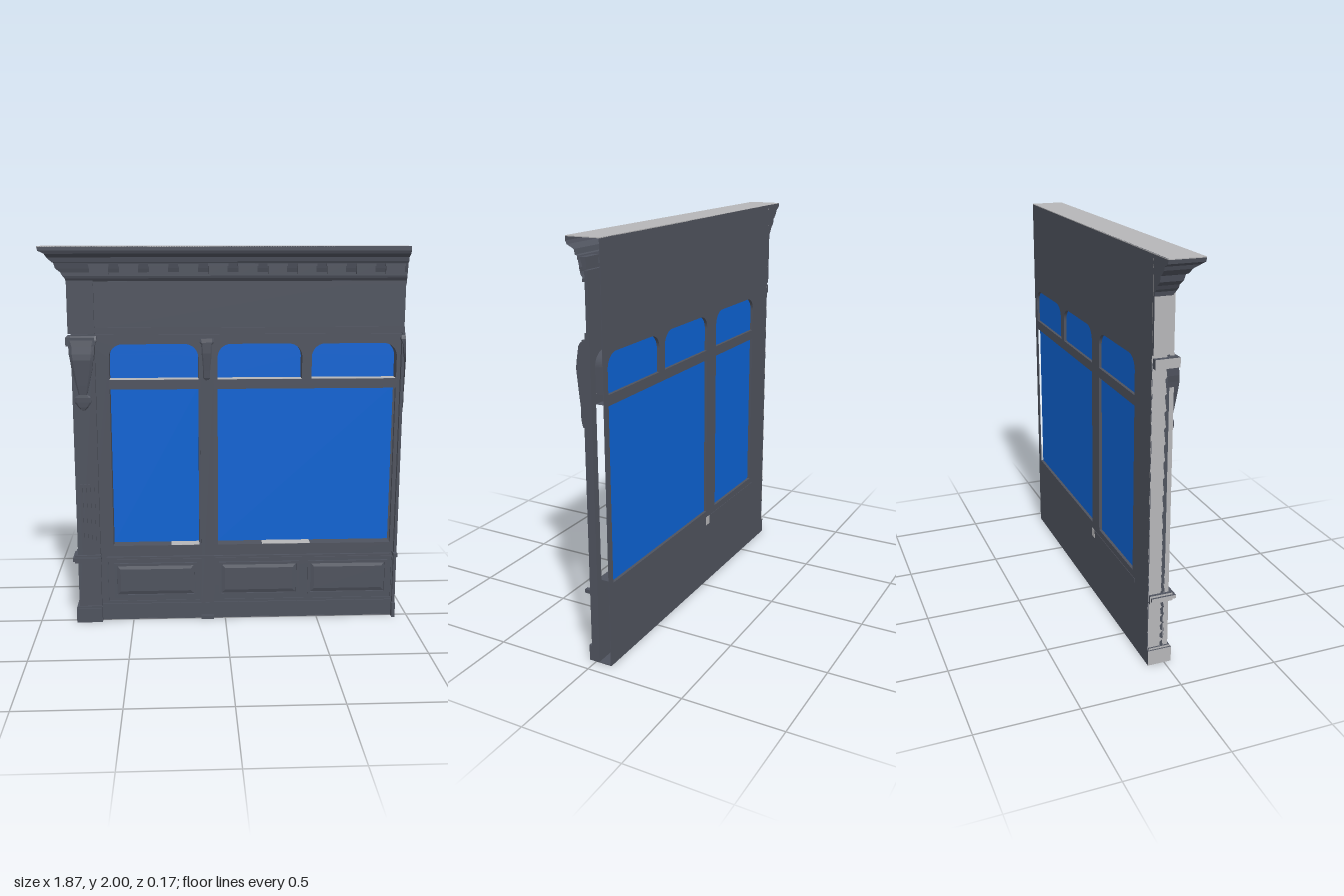
import * as THREE from 'three';

const mat = (name, color) => new THREE.MeshStandardMaterial({ name, color, side: THREE.DoubleSide });

export function createModel() {
  const paint = mat('dark paint', 0x4f535e);
  const bare = mat('bare grey', 0xb6b6b8);
  const blue = mat('blue glass', 0x0d63d3);
  const sided = [paint, bare, paint, paint, paint, paint]; // bare outer side
  const model = new THREE.Group();
  model.name = 'shopfront';
  const L = -0.79, R = 0.93, BACK = -0.085;

  const add = (name, geo, material = paint) => {
    const m = new THREE.Mesh(geo, material);
    m.name = name;
    model.add(m);
    return m;
  };
  // Box given by its limits
  const box = (name, x0, x1, y0, y1, z0, z1, material) => {
    const g = new THREE.BoxGeometry(x1 - x0, y1 - y0, z1 - z0);
    g.translate((x0 + x1) / 2, (y0 + y1) / 2, (z0 + z1) / 2);
    return add(name, g, material);
  };
  // Flat-shaded skin through rows of points
  const loft = (rows) => {
    const n = rows[0].length, idx = [];
    for (let i = 0; i < rows.length - 1; i++)
      for (let j = 0; j < n - 1; j++) {
        const a = i * n + j, b = a + n;
        idx.push(a, b, a + 1, a + 1, b, b + 1);
      }
    const g = new THREE.BufferGeometry();
    g.setAttribute('position', new THREE.Float32BufferAttribute(rows.flat(2), 3));
    g.setIndex(idx);
    const flat = g.toNonIndexed();
    flat.computeVertexNormals();
    return flat;
  };
  const plate = (name, shape, z0, z1, material) => {
    const g = new THREE.ExtrudeGeometry(shape, { depth: z1 - z0, bevelEnabled: false, curveSegments: 8 });
    g.translate(0, 0, z0);
    return add(name, g, material);
  };
  // Window outline, with optional rounded top corners
  const outline = ([x0, x1, y0, y1, r], C = THREE.Shape) => {
    const s = new C();
    s.moveTo(x0, y0);
    s.lineTo(x1, y0);
    if (r) {
      s.lineTo(x1, y1 - r);
      s.absarc(x1 - r, y1 - r, r, 0, Math.PI / 2, false);
      s.absarc(x0 + r, y1 - r, r, Math.PI / 2, Math.PI, false);
    } else {
      s.lineTo(x1, y1);
      s.lineTo(x0, y1);
    }
    s.closePath();
    return s;
  };

  const windows = [
    [-0.6, -0.14, 0.42, 1.27, 0], [-0.04, 0.895, 0.42, 1.27, 0],
    [-0.6, -0.14, 1.32, 1.505, 0.07], [-0.04, 0.4, 1.32, 1.505, 0.07], [0.45, 0.895, 1.32, 1.505, 0.07],
  ];
  const bareSill = [[-0.29, -0.14], [0.2, 0.46], [-0.6, -0.14], [-0.04, 0.4], [0.45, 0.895]];

  // Cornice levels: left x, front z, height
  const cornice = [
    [-0.935, 0.087, 2], [-0.93, 0.087, 1.978], [-0.9, 0.08, 1.963], [-0.893, 0.045, 1.945],
    [-0.87, 0.04, 1.922], [-0.862, 0.03, 1.918], [-0.855, 0.024, 1.89], [-0.83, 0.018, 1.87],
    [-0.82, 0.018, 1.852], [-0.81, 0.014, 1.84], [-0.805, 0.0, 1.82], [L, 0, 1.81],
  ];
  add('cornice', loft(cornice.map(([x, z, y]) => [[x, y, BACK], [x, y, z], [R, y, z]])));
  box('corniceTop', -0.935, R, 1.996, 2, BACK, 0.087, bare);
  box('corniceInnerEnd', -0.892, -0.888, 1.963, 1.996, -0.08, 0.08, bare);

  // Dentils under the cornice
  for (let x = -0.685; x < R; x += 0.15) {
    const x1 = Math.min(x + 0.095, R);
    box('dentil', x, x1, 1.86, 1.905, 0.0, 0.036);
    box('dentilCap', x - 0.004, Math.min(x1 + 0.004, R), 1.9, 1.912, 0.0, 0.04);
  }

  // Front wall with window openings
  const front = outline([L, R, 0.005, 1.56]);
  front.holes = windows.map((w) => outline(w, THREE.Path));
  plate('frontWall', front, -0.02, 0);
  box('frieze', L, R, 1.56, 1.86, -0.02, -0.004);
  box('friezeLowerRail', -0.67, R, 1.56, 1.59, -0.02, 0.006);
  box('architrave', -0.67, R, 1.535, 1.556, -0.01, 0.014);
  box('friezeUpperRail', -0.67, R, 1.81, 1.825, -0.02, 0.008);

  // Back wall follows the cornice end
  const back = new THREE.Shape();
  back.moveTo(L, 0);
  back.lineTo(R, 0);
  back.lineTo(R, 2);
  cornice.forEach(([x, , y]) => back.lineTo(x, y));
  back.closePath();
  back.holes = windows.map((w) => outline(w, THREE.Path));
  plate('backWall', back, BACK, -0.081);
  box('outerSide', L, L + 0.004, 0, 1.98, BACK, 0, bare);
  box('underside', L, R, 0, 0.004, BACK, 0);
  box('backLedge', -0.63, -0.03, 0.365, 0.385, -0.087, -0.02);
  box('backLedgeBlock', -0.075, -0.035, 0.34, 0.385, -0.0875, -0.05, bare);

  // Panes, reveals and sills
  windows.forEach((w, i) => {
    const s = outline(w);
    plate('pane', s, -0.07, -0.066, blue);
    const pts = s.getPoints(8);
    // the large right opening has no right-hand reveal
    const path = i === 1 ? pts.slice(2) : pts.slice(1);
    if (path[path.length - 1].distanceTo(pts[0]) > 1e-4) path.push(pts[0]);
    add('reveal', loft([-0.02, -0.082].map((z) => path.map((p) => [p.x, p.y, z]))));
    box('sill', w[0], w[1], w[2] - 0.004, w[2], -0.082, -0.001);
    box('sillTop', ...bareSill[i], w[2], w[2] + 0.001, -0.066, -0.002, bare);
  });

  // Mullion with its small corbel
  box('mullion', -0.13, -0.062, 0.005, 1.32, -0.01, 0.006);
  const console = (name, cx, levels, clip = Infinity) => {
    const X = (x) => Math.min(x, clip);
    add(name, loft(levels.map(([y, h, z]) => [
      [X(cx - h), y, -0.01], [X(cx - h), y, z * 0.85], [X(cx - h * 0.75), y, z],
      [X(cx + h * 0.75), y, z], [X(cx + h), y, z * 0.85], [X(cx + h), y, -0.01],
    ])));
  };
  console('mullionCorbel', -0.097, [
    [1.535, 0, 0.02], [1.535, 0.037, 0.03], [1.515, 0.037, 0.034], [1.505, 0.028, 0.034], [1.46, 0.026, 0.034],
    [1.37, 0.018, 0.022], [1.33, 0.018, 0.018], [1.318, 0.008, 0.012], [1.318, 0, 0.0],
  ]);

  // Left pilaster
  box('pilaster', L, -0.67, 0.08, 1.56, -0.005, 0.022, sided);
  box('pilasterHead', -0.805, -0.67, 1.56, 1.83, BACK, 0.012, sided);
  box('plinth', -0.805, -0.667, 0, 0.08, BACK, 0.036, sided);
  box('plinthLip', -0.798, -0.668, 0.08, 0.09, -0.08, 0.03, sided);
  box('pilasterBand', -0.815, -0.665, 0.352, 0.37, -0.075, 0.05, sided);
  box('pilasterBandBase', -0.805, -0.668, 0.338, 0.38, -0.08, 0.036, sided);
  for (let i = 0; i < 4; i++)
    box('reed', -0.766 + i * 0.021, -0.753 + i * 0.021, 0.42, 0.77, 0.02, 0.029);
  // Right pilaster, cut by the end of the wall
  box('cutPilaster', 0.915, R, 0.005, 1.56, -0.01, 0.022);
  box('cutPlinth', 0.912, R, 0, 0.08, -0.02, 0.036);
  box('cutBand', 0.908, R, 0.352, 0.37, -0.02, 0.05);

  // Carved console brackets with a pendant
  const bracket = [
    [1.55, 0, 0.02], [1.55, 0.075, 0.028], [1.53, 0.077, 0.04], [1.5, 0.066, 0.045], [1.46, 0.064, 0.052],
    [1.43, 0.058, 0.055], [1.38, 0.052, 0.05], [1.3, 0.034, 0.042], [1.25, 0.022, 0.036],
    [1.235, 0.042, 0.038], [1.21, 0.044, 0.037], [1.185, 0.026, 0.034], [1.165, 0.006, 0.028], [1.165, 0, 0],
  ];
  console('bracket', -0.735, bracket);
  box('bracketScroll', -0.815, -0.67, 1.5, 1.545, -0.08, 0.04, sided);
  console('cutBracket', 0.985, bracket, R);

  // Panels below the windows
  const frame = (name, x0, x1, y0, y1, t, z) => {
    const s = outline([x0, x1, y0, y1]);
    s.holes = [outline([x0 + t, x1 - t, y0 + t, y1 - t], THREE.Path)];
    plate(name, s, -0.005, z);
  };
  for (const [x0, x1] of [[-0.6, -0.155], [-0.035, 0.4], [0.45, 0.885]]) {
    frame('panelFrame', x0, x1, 0.13, 0.322, 0.014, 0.01);
    const ring = (d, z) => [
      [x0 + d, 0.13 + d, z], [x1 - d, 0.13 + d, z], [x1 - d, 0.322 - d, z], [x0 + d, 0.322 - d, z], [x0 + d, 0.13 + d, z],
    ];
    add('panelBevel', loft([ring(0.014, 0.001), ring(0.034, 0.008)]));
    box('panelField', x0 + 0.034, x1 - 0.034, 0.164, 0.288, 0, 0.008);
  }
  frame('panelSurround', -0.64, -0.13, 0.1, 0.345, 0.008, 0.005);
  frame('panelSurround', -0.062, 0.915, 0.1, 0.345, 0.008, 0.005);
  box('dadoRail', -0.64, 0.915, 0.35, 0.36, -0.005, 0.012);
  box('skirting', -0.667, 0.915, 0.012, 0.092, -0.005, 0.007);
  box('mullionFoot', -0.13, -0.062, 0, 0.02, -0.02, 0.02);
  return model;
}
